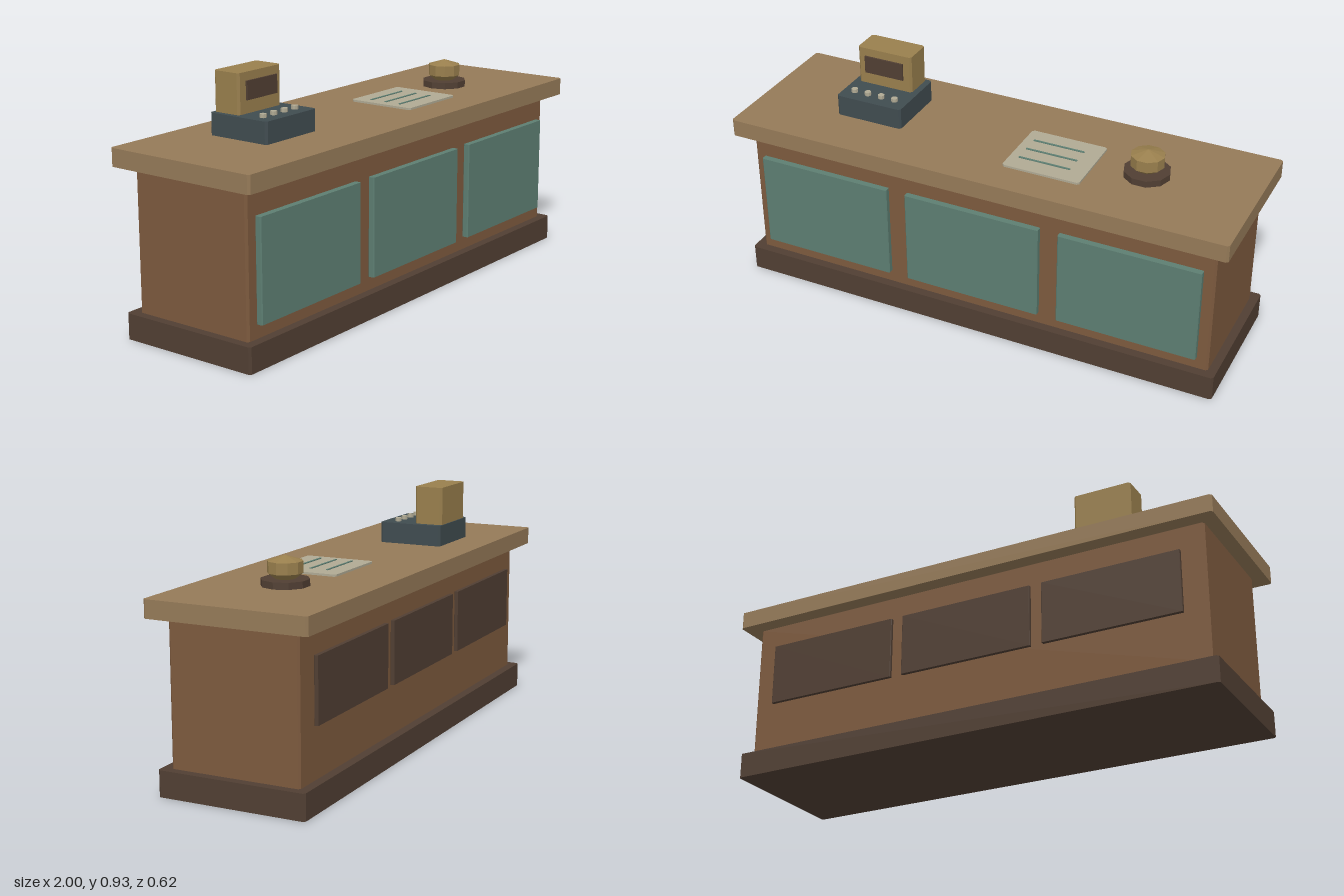
import * as THREE from 'three';

const material = (color) => new THREE.MeshStandardMaterial({ color, flatShading: true });

export function createModel() {
  const model = new THREE.Group();
  const wood = material(0x7d5a3e);
  const worktopWood = material(0x957a58);
  const darkWood = material(0x513f33);
  const green = material(0x5d7e72);
  const brass = material(0x997f4d);
  const slate = material(0x404c50);
  const cream = material(0xb0aa94);

  function add(name, geometry, mat, x, y, z, parent = model) {
    const mesh = new THREE.Mesh(geometry, mat);
    mesh.name = name;
    mesh.position.set(x, y, z);
    parent.add(mesh);
    return mesh;
  }

  // Block with chamfered vertical edges, given by its lower and upper limits
  function block(name, mat, [x0, x1], [y0, y1], [z0, z1], parent = model) {
    const w = (x1 - x0) / 2, d = (z1 - z0) / 2;
    const c = Math.min(0.008, w * 0.3, d * 0.3);
    const outline = new THREE.Shape([
      [w, c - d], [w, d - c], [w - c, d], [c - w, d],
      [-w, d - c], [-w, c - d], [c - w, -d], [w - c, -d],
    ].map(([x, y]) => new THREE.Vector2(x, y)));
    const geometry = new THREE.ExtrudeGeometry(outline, { depth: y1 - y0, bevelEnabled: false });
    geometry.rotateX(-Math.PI / 2);
    return add(name, geometry, mat, (x0 + x1) / 2, y0, (z0 + z1) / 2, parent);
  }

  // Counter carcass
  block('plinth', darkWood, [-0.978, 0.978], [0, 0.097], [-0.285, 0.285]);
  block('cabinet', wood, [-0.945, 0.945], [0.097, 0.628], [-0.25, 0.25]);
  block('worktop', worktopWood, [-1, 1], [0.628, 0.695], [-0.312, 0.312]);

  // Three panels on the front and three on the back
  for (const i of [-1, 0, 1]) {
    const f = i * 0.627, b = i * 0.587;
    block('frontPanel', green, [f - 0.275, f + 0.275], [0.15, 0.527], [0.249, 0.275]);
    block('backPanel', darkWood, [b - 0.27, b + 0.27], [0.293, 0.533], [-0.272, -0.257]);
  }

  // Cash register
  const register = new THREE.Group();
  register.name = 'cashRegister';
  model.add(register);
  block('registerBase', slate, [-0.655, -0.38], [0.695, 0.777], [-0.164, 0.096], register);
  block('registerHead', brass, [-0.635, -0.405], [0.777, 0.926], [-0.16, -0.045], register);
  block('registerScreen', darkWood, [-0.602, -0.437], [0.827, 0.896], [-0.041, -0.034], register);
  for (let i = 0; i < 4; i++) {
    add('registerKey', new THREE.CylinderGeometry(0.013, 0.013, 0.014, 8), cream,
      -0.607 + i * 0.058, 0.784, 0.041, register);
  }

  // Paper sheet with ruled lines
  const sheet = new THREE.Group();
  sheet.name = 'paperSheet';
  model.add(sheet);
  block('paper', cream, [0.085, 0.39], [0.699, 0.707], [-0.097, 0.178], sheet);
  for (const z of [-0.028, 0.039, 0.105]) {
    block('paperLine', green, [0.12, 0.325], [0.706, 0.71], [z - 0.004, z + 0.004], sheet);
  }

  // Counter bell, ten-sided
  const bell = new THREE.Group();
  bell.name = 'counterBell';
  bell.position.set(0.583, 0, 0);
  bell.rotation.y = Math.PI / 2;
  model.add(bell);
  add('bellBase', new THREE.CylinderGeometry(0.088, 0.088, 0.025, 10), darkWood, 0, 0.7075, 0, bell);
  const profile = [[0, 0.719], [0.035, 0.719], [0.064, 0.741], [0.064, 0.783], [0, 0.803]]
    .map(([x, y]) => new THREE.Vector2(x, y));
  add('bellDome', new THREE.LatheGeometry(profile, 10), brass, 0, 0, 0, bell);

  return model;
}
